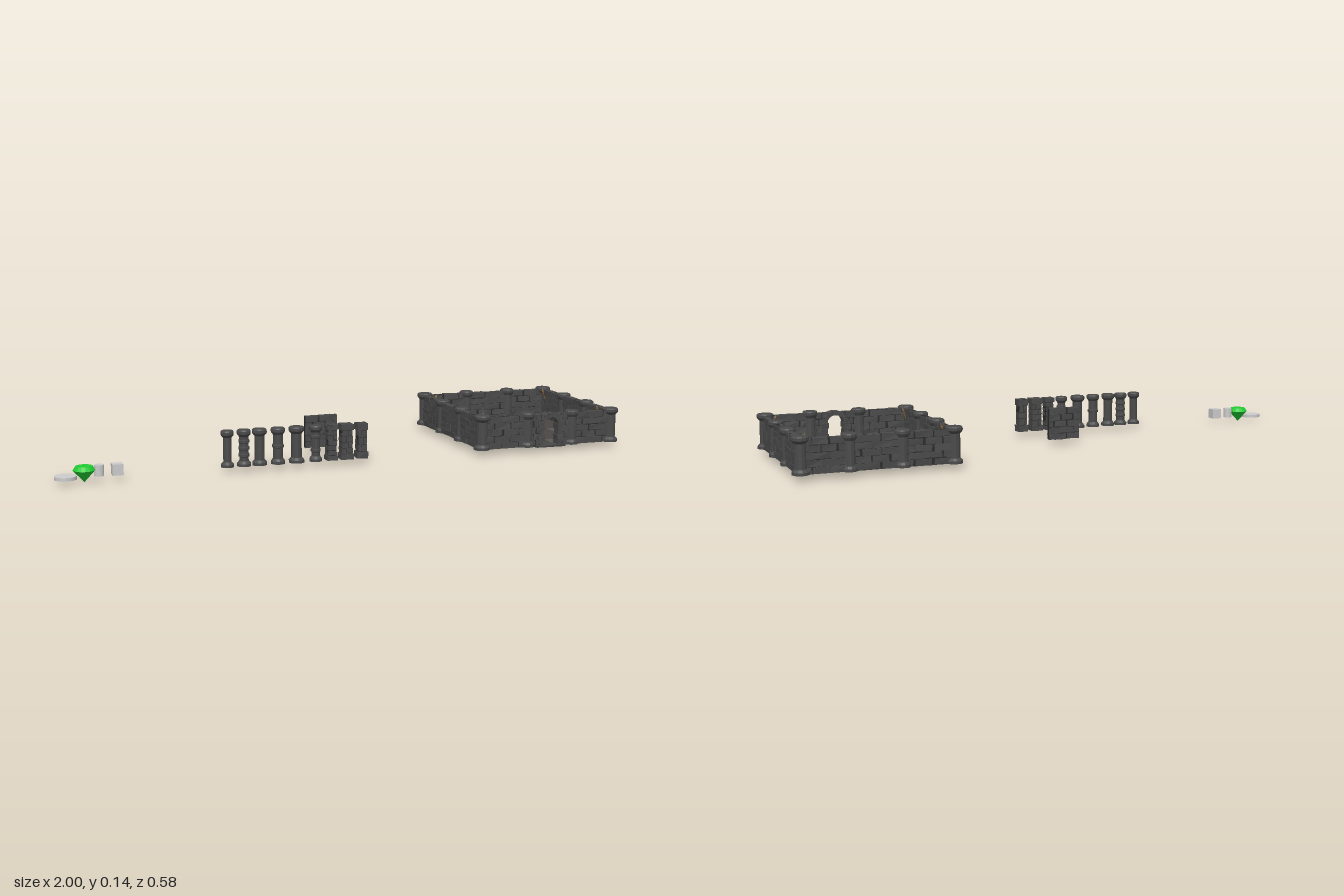
import * as THREE from 'three';

const mat = (color) => new THREE.MeshStandardMaterial({ color, flatShading: true });
const stone = mat(0x4a4a4a), mortar = mat(0x2c2c2c), ground = mat(0x4c4644), slabMat = mat(0x5a5a58);
const wood = mat(0x7a5a30), green = mat(0x22cc33), plain = mat(0xcccccc);
const Y0 = 0.018, Y1 = 0.139;

let seed = 7;
const rnd = () => (seed = (seed * 16807) % 2147483647) / 2147483647;
const jit = (a) => (rnd() - 0.5) * 2 * a;

function add(parent, name, geo, material, x = 0, y = 0, z = 0) {
  const m = new THREE.Mesh(geo, material);
  m.name = name;
  m.position.set(x, y, z);
  parent.add(m);
  return m;
}

function group(parent, name, x = 0, y = 0, z = 0) {
  const g = new THREE.Group();
  g.name = name;
  g.position.set(x, y, z);
  parent.add(g);
  return g;
}

// Rough block: a box whose eight corners are nudged
function block(w, h, d, a = 0.0015) {
  const g = new THREE.BoxGeometry(w, h, d), p = g.attributes.position;
  const corners = Array.from({ length: 8 }, () => [jit(a), jit(a), jit(a)]);
  for (let i = 0; i < p.count; i++) {
    const x = p.getX(i), y = p.getY(i), z = p.getZ(i);
    const c = corners[(x > 0) + 2 * (y > 0) + 4 * (z > 0)];
    p.setXYZ(i, x + c[0], y + c[1], z + c[2]);
  }
  g.computeVertexNormals();
  return g;
}

// Five brick courses along local x, centred, around a thin mortar core
function brickWall(parent, name, length, thick) {
  const g = group(parent, name), h = 0.0228;
  add(g, 'mortarCore', new THREE.BoxGeometry(length, 0.111, thick * 0.72), mortar, 0, Y0 + 0.057, 0);
  for (let r = 0; r < 5; r++) {
    const cuts = r % 2 ? [0, 0.2, 0.6, 1] : [0, 0.4, 0.82, 1];
    for (let i = 0; i < 3; i++) {
      const a = cuts[i] + (i ? jit(0.05) : 0);
      const w = (cuts[i + 1] - a) * length;
      add(g, 'brick', block(w - 0.0025, h - 0.002, thick + jit(0.002)), stone,
        a * length + w / 2 - length / 2, Y0 + (r + 0.5) * h, 0);
    }
  }
  return g;
}

// Turned pillar with bevelled base and cap, plus optional rings
function pillar(parent, name, x, z, capR, shaftR, rings = [], sides = 12) {
  const pts = [[0, Y0], [capR, Y0], [capR, Y0 + 0.009], [shaftR * 1.12, Y0 + 0.016], [shaftR, Y0 + 0.018]];
  for (const y of rings) {
    pts.push([shaftR, y - 0.006], [shaftR * 1.17, y - 0.004], [shaftR * 1.17, y + 0.004], [shaftR, y + 0.006]);
  }
  pts.push([shaftR, Y1 - 0.023], [capR * 0.95, Y1 - 0.015], [capR, Y1 - 0.012], [capR, Y1 - 0.004],
    [capR * 0.86, Y1], [0, Y1]);
  return add(parent, name, new THREE.LatheGeometry(pts.map((p) => new THREE.Vector2(...p)), sides), stone, x, 0, z);
}

// Square pier of stacked blocks
function pier(parent, x, z, size, courses) {
  const g = group(parent, 'squarePier', x, 0, z), h = (Y1 - Y0) / courses;
  add(g, 'pierCore', new THREE.BoxGeometry(size * 0.8, Y1 - Y0 - 0.002, size * 0.8), mortar, 0, (Y0 + Y1) / 2, 0);
  for (let i = 0; i < courses; i++) {
    const end = i === 0 || i === courses - 1, y = Y0 + (i + 0.5) * h, w = size * (end ? 1 : 0.86);
    if (end) add(g, 'pierBlock', block(w, h - 0.0015, w, 0.001), stone, 0, y, 0);
    else {
      const split = w * (i % 2 ? 0.38 : 0.62);
      add(g, 'pierBlock', block(split - 0.0015, h - 0.002, w, 0.001), stone, split / 2 - w / 2, y, 0);
      add(g, 'pierBlock', block(w - split - 0.0015, h - 0.002, w, 0.001), stone, split / 2, y, 0);
    }
  }
}

// Doorway bay: brick jambs, arch of stones and a front step
function doorway(parent, x, z, length) {
  const g = group(parent, 'doorway', x, 0, z), open = 0.058, jamb = (length - open) / 2;
  for (const s of [-1, 1]) {
    const wall = brickWall(g, 'doorSideWall', jamb, 0.024);
    wall.position.x = s * (open + jamb) / 2;
    for (let i = 0; i < 4; i++) {
      add(g, 'jambStone', block(i % 2 ? 0.022 : 0.016, 0.0185, 0.034), stone, s * 0.036, Y0 + 0.0095 + i * 0.019, 0);
    }
  }
  const head = new THREE.Shape([[-0.029, 0.093], [-0.029, 0.131], [0.029, 0.131], [0.029, 0.093]]
    .map((p) => new THREE.Vector2(...p)));
  head.absarc(0, 0.091, 0.029, 0, Math.PI, false);
  add(g, 'archWall', new THREE.ExtrudeGeometry(head, { depth: 0.022, bevelEnabled: false }), stone, 0, 0, -0.011);
  for (let i = 0; i < 7; i++) {
    const a = (i + 0.5) * Math.PI / 7;
    const m = add(g, 'archStone', block(0.015, 0.0155, 0.034, 0.001), stone, Math.cos(a) * 0.036, 0.092 + Math.sin(a) * 0.036, 0);
    m.rotation.z = a;
  }
  add(g, 'doorStep', block(0.11, 0.008, 0.036), stone, 0, Y0, 0.004);
}

// Irregular flat paving slab
function slab(parent, x, z, r, sides) {
  const pts = [];
  for (let i = 0; i < sides; i++) {
    const a = (i + jit(0.25)) / sides * Math.PI * 2, k = r * (1 + jit(0.18));
    pts.push(new THREE.Vector2(Math.cos(a) * k, Math.sin(a) * k));
  }
  const geo = new THREE.ExtrudeGeometry(new THREE.Shape(pts), { depth: 0.0105, bevelEnabled: false });
  geo.rotateX(-Math.PI / 2);
  add(parent, 'pavingSlab', geo, slabMat, x, 0.013, z);
}

function torch(parent, x, z, dx, dz) {
  const g = group(parent, 'wallTorch', x, 0.115, z);
  add(g, 'torchStick', new THREE.CylinderGeometry(0.003, 0.002, 0.035, 6), wood);
  add(g, 'torchHead', new THREE.ConeGeometry(0.005, 0.012, 6), wood, 0, 0.021, 0);
  g.rotation.set(dz * 0.3, 0, -dx * 0.3);
}

function room(root) {
  const g = group(root, 'dungeonRoom');
  const xs = [0.47, 0.643, 0.816, 0.971], zs = [-0.26, -0.087, 0.086, 0.259];
  add(g, 'floor', new THREE.BoxGeometry(0.5, 0.005, 0.518), ground, 0.7205, 0.0185, 0);
  const slabs = [[0.57, -0.17, 0.07, 6], [0.52, -0.21, 0.035, 5], [0.79, -0.06, 0.026, 5], [0.89, 0.03, 0.05, 5],
    [0.55, 0.13, 0.055, 6], [0.6, 0.2, 0.04, 5], [0.77, 0.08, 0.033, 5], [0.77, 0.21, 0.03, 5], [0.91, -0.2, 0.032, 5]];
  slabs.forEach((s) => slab(g, ...s));
  for (let i = 0; i < 4; i++) {
    for (let j = 0; j < 4; j++) {
      if (i % 3 === 0 || j % 3 === 0) pillar(g, 'roomPillar', xs[i], zs[j], i % 3 || j % 3 ? 0.026 : 0.0285, 0.02);
    }
  }
  for (let i = 0; i < 3; i++) {
    const lx = xs[i + 1] - xs[i], cx = (xs[i + 1] + xs[i]) / 2;
    const lz = zs[i + 1] - zs[i], cz = (zs[i + 1] + zs[i]) / 2;
    brickWall(g, 'backWall', lx - 0.02, 0.024).position.set(cx, 0, zs[0]);
    if (i === 1) doorway(g, cx, zs[3], lx - 0.02);
    else brickWall(g, 'frontWall', lx - 0.02, 0.024).position.set(cx, 0, zs[3]);
    for (const x of [xs[0], xs[3]]) {
      const w = brickWall(g, 'sideWall', lz - 0.02, 0.024);
      w.position.set(x, 0, cz);
      w.rotation.y = x === xs[0] ? -Math.PI / 2 : Math.PI / 2;
    }
  }
  for (const z of [-0.21, 0.21]) {
    torch(g, xs[0] + 0.02, z, 1, 0);
    torch(g, xs[3] - 0.02, z, -1, 0);
  }
}

export function createModel() {
  const root = new THREE.Group();
  root.name = 'dungeonKit';
  room(root);

  // Row of sample columns
  const zr = 0.256, row = group(root, 'columnRow');
  pillar(row, 'column', -0.439, zr, 0.022, 0.014);
  pillar(row, 'ringedColumn', -0.383, zr, 0.0235, 0.016, [0.055, 0.078, 0.101]);
  pillar(row, 'column', -0.33, zr, 0.025, 0.017);
  pillar(row, 'ringedColumn', -0.267, zr, 0.024, 0.017, [0.078]);
  pillar(row, 'wideColumn', -0.203, zr, 0.0265, 0.018);
  pillar(row, 'ringedColumn', -0.136, zr, 0.022, 0.0145, [0.055, 0.101]);
  pier(row, -0.082, zr, 0.037, 7);
  pier(row, -0.03, zr, 0.044, 6);
  pier(row, 0.025, zr, 0.037, 5);

  // Loose wall panel
  brickWall(root, 'wallPanel', 0.118, 0.018).position.set(-0.046, 0, 0.034);

  // Small props
  const props = group(root, 'props', 0, 0, zr);
  add(props, 'disc', new THREE.CylinderGeometry(0.036, 0.036, 0.011, 24), plain, -0.964, 0.0195, 0);
  const gem = [[0, 0], [0.036, 0.04], [0.027, 0.053], [0, 0.053]].map((p) => new THREE.Vector2(...p));
  add(props, 'gem', new THREE.LatheGeometry(gem, 16), green, -0.905, 0, 0);
  add(props, 'smallCylinder', new THREE.CylinderGeometry(0.016, 0.016, 0.036, 16), plain, -0.858, 0.036, 0);
  add(props, 'cube', new THREE.BoxGeometry(0.035, 0.036, 0.035), plain, -0.8, 0.036, 0);
  return root;
}
